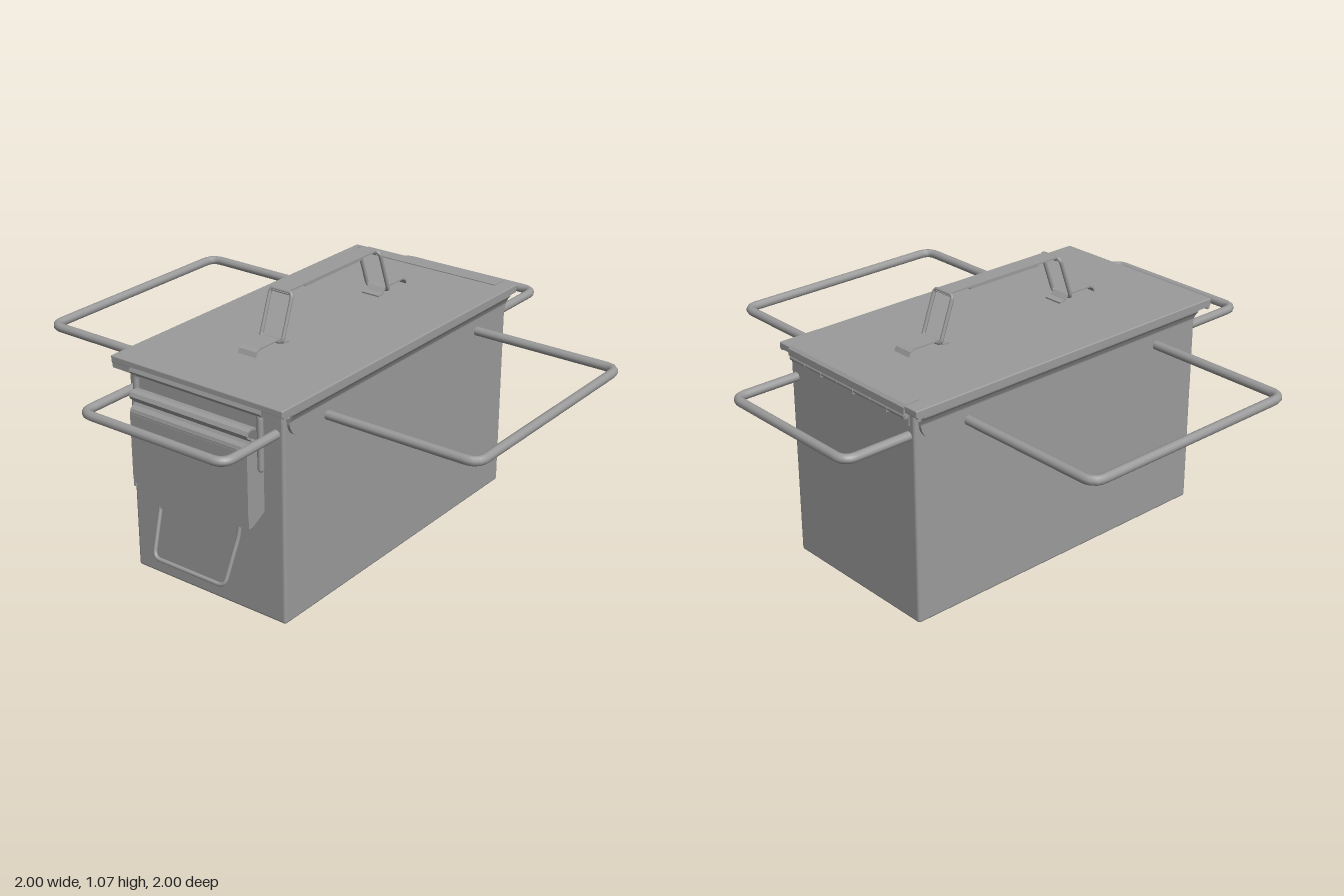
import * as THREE from 'three';
import { RoundedBoxGeometry } from 'three/addons/geometries/RoundedBoxGeometry.js';

const material = new THREE.MeshStandardMaterial({ color: 0x9b9b9b, side: THREE.DoubleSide });
const V = (x, y, z) => new THREE.Vector3(x, y, z);

function add(parent, name, geometry, x = 0, y = 0, z = 0) {
  const mesh = new THREE.Mesh(geometry, material);
  mesh.name = name;
  mesh.position.set(x, y, z);
  parent.add(mesh);
  return mesh;
}

// Box given by its lower and upper corners
function box(parent, name, a, b) {
  return add(parent, name, new THREE.BoxGeometry(b[0] - a[0], b[1] - a[1], b[2] - a[2]),
    (a[0] + b[0]) / 2, (a[1] + b[1]) / 2, (a[2] + b[2]) / 2);
}

// Round wire through points, with rounded bends
function wire(points, bend, radius, closed = false) {
  const n = points.length, path = new THREE.CurvePath();
  let last = closed ? points[0].clone().lerp(points[n - 1], 0.5) : points[0];
  const start = last;
  for (let i = closed ? 0 : 1; i < (closed ? n : n - 1); i++) {
    const p = points[i], next = points[(i + 1) % n], prev = points[(i + n - 1) % n];
    const a = p.clone().add(prev.clone().sub(p).setLength(bend));
    const b = p.clone().add(next.clone().sub(p).setLength(bend));
    path.add(new THREE.LineCurve3(last, a));
    path.add(new THREE.QuadraticBezierCurve3(a, p, b));
    last = b;
  }
  path.add(new THREE.LineCurve3(last, closed ? start : points[n - 1]));
  return new THREE.TubeGeometry(path, 120, radius, 10, closed);
}

// Prism: an x-y outline extruded along z, centred
function prism(points, width) {
  const shape = new THREE.Shape(points.map(p => new THREE.Vector2(...p)));
  return new THREE.ExtrudeGeometry(shape, { depth: width, bevelEnabled: false }).translate(0, 0, -width / 2);
}

// Bent sheet strip: x-y centre line with a thickness
function strip(points, thickness, width) {
  const side = s => points.map((p, i) => {
    const a = points[Math.max(i - 1, 0)], b = points[Math.min(i + 1, points.length - 1)];
    const dx = b[0] - a[0], dy = b[1] - a[1], l = Math.hypot(dx, dy);
    return [p[0] - s * dy / l * thickness / 2, p[1] + s * dx / l * thickness / 2];
  });
  return prism([...side(1), ...side(-1).reverse()], width);
}

export function createModel() {
  const root = new THREE.Group();
  root.name = 'storageCan';

  // Body
  add(root, 'body', new RoundedBoxGeometry(1.415, 0.85, 0.71, 3, 0.012), 0, 0.425, 0);

  // Lid with a turned-down rim
  const lid = new THREE.Group();
  lid.name = 'lid';
  root.add(lid);
  add(lid, 'lidPlate', new RoundedBoxGeometry(1.485, 0.028, 0.785, 2, 0.005), -0.015, 0.857, 0);
  for (const s of [-1, 1])
    add(lid, 'lidRim', new THREE.BoxGeometry(1.475, 0.02, 0.012), -0.015, 0.849, s * 0.3864);
  box(lid, 'lidLatchRim', [-0.757, 0.825, -0.385], [-0.745, 0.855, 0.385]);

  // Flared flanges along both long sides
  for (const s of [-1, 1]) {
    const flange = new THREE.Group();
    flange.name = s > 0 ? 'frontFlange' : 'backFlange';
    if (s < 0) flange.rotation.y = Math.PI;
    root.add(flange);
    const plate = new THREE.Shape();
    plate.moveTo(-0.69, 0.81);
    plate.quadraticCurveTo(-0.69, 0.73, -0.61, 0.73);
    plate.lineTo(0.61, 0.73);
    plate.quadraticCurveTo(0.69, 0.73, 0.69, 0.81);
    add(flange, 'flangePlate', new THREE.ExtrudeGeometry(plate, { depth: 0.014, bevelEnabled: false, curveSegments: 10 }), 0, 0, 0.353);
    const flare = strip([[-0.361, 0.79], [-0.365, 0.803], [-0.374, 0.82], [-0.383, 0.832], [-0.385, 0.85]], 0.008, 1.38);
    add(flange, 'flangeFlare', flare).rotation.y = Math.PI / 2;
  }

  // Four folding wire carry handles
  for (const s of [-1, 1]) {
    add(root, s > 0 ? 'frontHandle' : 'backHandle',
      wire([V(-0.477, 0.748, s * 0.34), V(-0.477, 0.748, s * 0.982), V(0.477, 0.748, s * 0.982), V(0.477, 0.748, s * 0.34)], 0.05, 0.018));
    add(root, s > 0 ? 'leftHandle' : 'rightHandle',
      wire([V(s * 0.69, 0.748, -0.323), V(s * 0.982, 0.748, -0.323), V(s * 0.982, 0.748, 0.323), V(s * 0.69, 0.748, 0.323)], 0.05, 0.018));
  }

  // Top handle: strap feet, tilted wire links and grip
  const handle = new THREE.Group();
  handle.name = 'topHandle';
  root.add(handle);
  for (const s of [-1, 1]) {
    const foot = strip([[0.47, 0.873], [0.462, 0.89], [0.445, 0.898], [0.34, 0.898], [0.325, 0.895], [0.308, 0.877], [0.28, 0.874]], 0.006, 0.08);
    add(handle, 'strapFoot', foot).rotation.y = s > 0 ? 0 : Math.PI;
    add(handle, 'handleLink', wire([V(s * 0.33, 0.888, -0.05), V(s * 0.268, 1.06, -0.05), V(s * 0.268, 1.06, 0.05), V(s * 0.33, 0.888, 0.05)], 0.018, 0.0075, true));
  }
  add(handle, 'grip', strip([[-0.265, 1.05], [-0.275, 1.056], [-0.265, 1.063], [0.265, 1.063], [0.275, 1.056], [0.265, 1.05]], 0.006, 0.07));
  box(handle, 'gripFold', [-0.17, 1.052, -0.033], [0.17, 1.062, 0.033]);

  // Hinge: lid leaf, body leaf, pin and knuckles
  const hinge = new THREE.Group();
  hinge.name = 'hinge';
  root.add(hinge);
  add(hinge, 'lidLeaf', strip([[0.66, 0.871], [0.722, 0.871], [0.729, 0.864], [0.729, 0.838]], 0.007, 0.66));
  box(hinge, 'bodyLeaf', [0.7, 0.79, -0.33], [0.712, 0.84, 0.33]);
  const pin = add(hinge, 'hingePin', new THREE.CylinderGeometry(0.008, 0.008, 0.66, 12), 0.72, 0.829, 0);
  pin.rotation.x = Math.PI / 2;
  for (let i = 0; i < 7; i++) {
    const z = -0.282 + i * 0.094;
    const knuckle = add(hinge, 'knuckle', new THREE.CylinderGeometry(0.012, 0.012, 0.09, 14), 0.72, 0.829, z);
    knuckle.rotation.x = Math.PI / 2;
    if (i % 2) box(hinge, 'knuckleTab', [0.706, 0.812, z - 0.045], [0.73, 0.829, z + 0.045]);
  }

  // Latch on the right end
  const latch = new THREE.Group();
  latch.name = 'latch';
  root.add(latch);
  const face = new THREE.Shape([[-0.27, 0.7], [-0.27, 0.43], [-0.235, 0.4], [-0.16, 0.4], [-0.14, 0.35],
    [0.14, 0.35], [0.16, 0.4], [0.235, 0.4], [0.27, 0.43], [0.27, 0.7]].map(p => new THREE.Vector2(...p)));
  const plate = add(latch, 'latchPlate', new THREE.ExtrudeGeometry(face, { depth: 0.006, bevelEnabled: false }), -0.794, 0, 0);
  plate.rotation.y = -Math.PI / 2;
  add(latch, 'latchShoulder', strip([[-0.797, 0.69], [-0.792, 0.708], [-0.779, 0.718], [-0.772, 0.73],
    [-0.778, 0.741], [-0.79, 0.748], [-0.796, 0.759], [-0.79, 0.77], [-0.775, 0.775], [-0.75, 0.77]], 0.007, 0.54));
  for (const s of [-1, 1])
    add(latch, 'latchCheek', prism([[-0.798, 0.69], [-0.798, 0.402], [-0.775, 0.402], [-0.712, 0.435], [-0.712, 0.6], [-0.742, 0.715], [-0.78, 0.718]], 0.008), 0, 0, s * 0.266);

  // Lid catch, bail wire and pull loop
  add(latch, 'lidCatch', strip([[-0.71, 0.852], [-0.742, 0.851], [-0.755, 0.845], [-0.759, 0.835], [-0.753, 0.825], [-0.735, 0.822]], 0.008, 0.6));
  add(latch, 'bailWire', wire([V(-0.745, 0.62, -0.285), V(-0.745, 0.835, -0.285), V(-0.745, 0.835, 0.285), V(-0.745, 0.62, 0.285)], 0.03, 0.012));
  for (const s of [-1, 1])
    add(latch, 'bailEnd', new THREE.SphereGeometry(0.012, 12, 8), -0.745, 0.62, s * 0.285);
  add(latch, 'pullLoop', wire([V(-0.75, 0.6, -0.185), V(-0.75, 0.335, -0.185), V(-0.818, 0.147, -0.168),
    V(-0.818, 0.147, 0.168), V(-0.75, 0.335, 0.185), V(-0.75, 0.6, 0.185)], 0.03, 0.008));

  // Body bracket that carries the latch
  box(latch, 'latchBracket', [-0.718, 0.56, -0.25], [-0.7, 0.7, 0.25]);
  return root;
}
